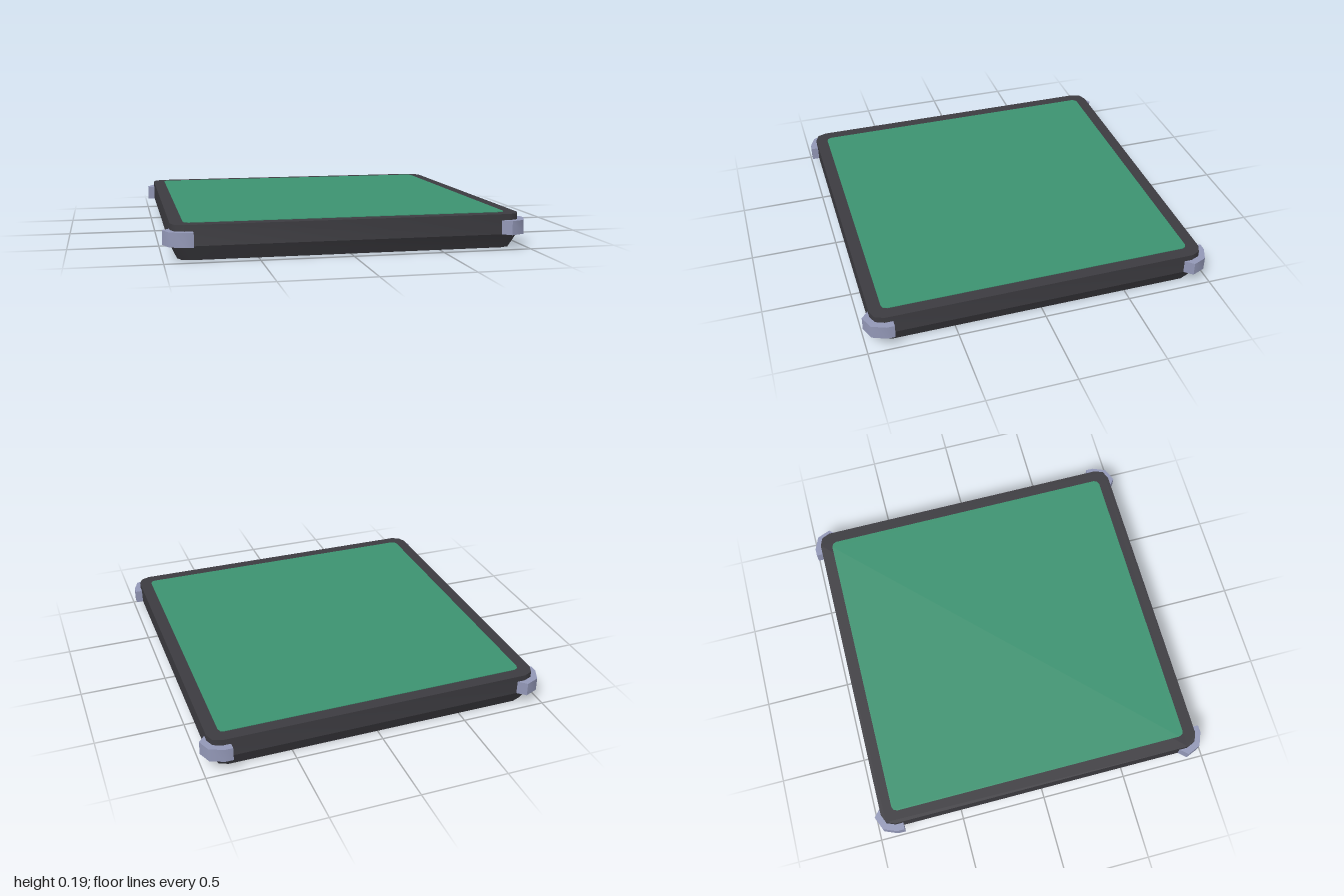
import * as THREE from 'three';
import { toCreasedNormals } from 'three/addons/utils/BufferGeometryUtils.js';

const CREASE = 0.9; // smooths the corner facets, keeps other edges sharp

// Square outline with rounded corners
function roundedSquare(half, r) {
  const c = half - r;
  const s = new THREE.Shape();
  s.absarc(c, c, r, 0, Math.PI / 2);
  s.absarc(-c, c, r, Math.PI / 2, Math.PI);
  s.absarc(-c, -c, r, Math.PI, Math.PI * 1.5);
  s.absarc(c, -c, r, Math.PI * 1.5, Math.PI * 2);
  s.closePath();
  return s;
}

// Upright slab from a flat outline, between heights y0 and y1
function slab(shape, y0, y1) {
  const g = new THREE.ExtrudeGeometry(shape, { depth: y1 - y0, bevelEnabled: false, curveSegments: 1 });
  g.rotateX(-Math.PI / 2);
  g.translate(0, y0, 0);
  return g;
}

export function createModel() {
  const frameDark = new THREE.MeshStandardMaterial({ color: 0x3c3b40 });
  frameDark.name = 'charcoal frame';
  const panelGreen = new THREE.MeshStandardMaterial({ color: 0x3c9270 });
  panelGreen.name = 'green panel';
  const guardGrey = new THREE.MeshStandardMaterial({ color: 0x9297b6 });
  guardGrey.name = 'blue grey guard';

  const model = new THREE.Group();
  model.name = 'tile';
  const add = (name, geometry, material) => {
    const mesh = new THREE.Mesh(toCreasedNormals(geometry, CREASE), material);
    mesh.name = name;
    model.add(mesh);
    return mesh;
  };

  // Upper frame with straight walls
  add('frame', slab(roundedSquare(0.96, 0.07), 0.08, 0.192), frameDark);

  // Base tapering inwards towards the ground
  const base = slab(roundedSquare(0.96, 0.07), 0, 0.08);
  const p = base.attributes.position;
  const taper = 0.923 / 0.96;
  for (let i = 0; i < p.count; i++) {
    if (p.getY(i) < 0.01) p.setXYZ(i, p.getX(i) * taper, 0, p.getZ(i) * taper);
  }
  add('base', base, frameDark);

  // Thin inlaid top panel
  add('topPanel', slab(roundedSquare(0.89, 0.03), 0.189, 0.195), panelGreen);

  // Corner guards wrapping the frame
  const c = 0.89, end = 0.845;
  const guard = new THREE.Shape();
  guard.moveTo(1, end);
  guard.absarc(c, c, 0.11, 0, Math.PI / 2);
  guard.lineTo(end, 1);
  guard.lineTo(end, 0.96);
  guard.absarc(c, c, 0.07, Math.PI / 2, 0, true);
  guard.lineTo(0.96, end);
  guard.closePath();
  for (let i = 0; i < 4; i++) {
    add('cornerGuard' + (i + 1), slab(guard, 0.08, 0.158), guardGrey).rotation.y = i * Math.PI / 2;
  }

  return model;
}
